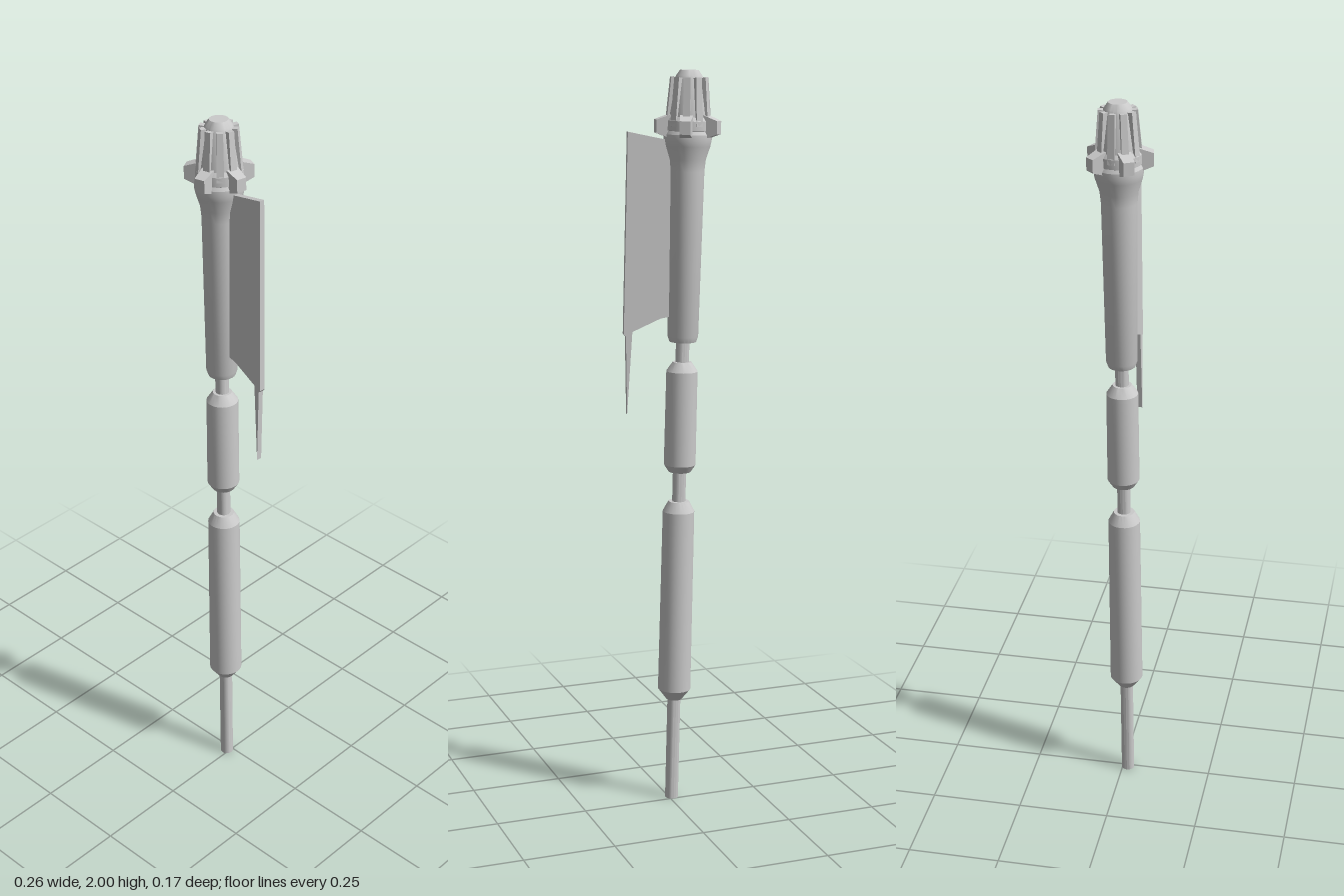
import * as THREE from 'three';
import { toCreasedNormals } from 'three/addons/utils/BufferGeometryUtils.js';

const material = new THREE.MeshStandardMaterial({ color: 0xcccccc });

function add(parent, name, geometry) {
  const mesh = new THREE.Mesh(geometry, material);
  mesh.name = name;
  parent.add(mesh);
  return mesh;
}

// Turned part from [radius, height] pairs, with sharp rims
function turned(parent, name, profile, sides = 24) {
  const points = profile.map(([r, y]) => new THREE.Vector2(r, y));
  return add(parent, name, toCreasedNormals(new THREE.LatheGeometry(points, sides), 0.45));
}

// Box whose +y or +x end is scaled down
function taperedBox(w, h, d, axis, sa, sb) {
  const g = new THREE.BoxGeometry(w, h, d);
  const p = g.attributes.position;
  for (let i = 0; i < p.count; i++) {
    if (axis === 'x' && p.getX(i) > 0) {
      p.setY(i, p.getY(i) * sa);
      p.setZ(i, p.getZ(i) * sb);
    } else if (axis === 'y' && p.getY(i) > 0) {
      p.setX(i, p.getX(i) * sa);
      p.setZ(i, p.getZ(i) * sb);
    }
  }
  g.computeVertexNormals();
  return g;
}

export function createModel() {
  const model = new THREE.Group();
  model.name = 'staffWeapon';

  // The whole staff leans slightly
  const staff = new THREE.Group();
  staff.name = 'staff';
  staff.position.set(-0.008, 0, 0.015);
  staff.rotation.set(-0.01, 0, 0.021);
  model.add(staff);

  // Thin core rod and three sleeves
  turned(staff, 'coreRod', [[0, 0], [0.018, 0], [0.018, 1.32], [0, 1.32]], 16);
  turned(staff, 'lowerGrip', [
    [0, 0.29], [0.022, 0.29], [0.045, 0.32], [0.043, 0.825], [0.028, 0.853], [0, 0.853]]);
  turned(staff, 'middleGrip', [
    [0, 0.935], [0.03, 0.935], [0.043, 0.955], [0.042, 1.21], [0.025, 1.235], [0, 1.235]]);
  turned(staff, 'upperSleeve', [
    [0, 1.29], [0.036, 1.29], [0.041, 1.305], [0.046, 1.74], [0.049, 1.77],
    [0.06, 1.805], [0.063, 1.82], [0.063, 1.835], [0.055, 1.85], [0, 1.85]]);

  // Ribbed head
  const head = new THREE.Group();
  head.name = 'head';
  head.rotation.y = -THREE.MathUtils.degToRad(8);
  staff.add(head);
  turned(head, 'headCore', [
    [0, 1.83], [0.054, 1.83], [0.053, 1.88], [0.038, 1.975], [0.034, 1.985],
    [0.024, 1.999], [0, 1.999]]);
  turned(head, 'collar', [[0.05, 1.84], [0.06, 1.845], [0.06, 1.87], [0.05, 1.885]]);

  for (let i = 0; i < 10; i++) {
    const spoke = new THREE.Group();
    spoke.name = 'ribMount';
    spoke.rotation.y = -(i / 10) * Math.PI * 2;
    head.add(spoke);
    const rib = add(spoke, 'rib', taperedBox(0.018, 0.125, 0.019, 'y', 0.9, 0.85));
    rib.position.set(0.046, 1.918, 0);
    rib.rotation.z = 0.08;

    // Five studs around the collar
    if (i % 2 === 0) {
      const stud = add(spoke, 'stud', taperedBox(0.046, 0.068, 0.036, 'x', 0.5, 0.78));
      stud.position.set(0.064, 1.855, 0);
    }
  }

  // Side blade with a spike at its lower outer corner
  const bladeMount = new THREE.Group();
  bladeMount.name = 'bladeMount';
  bladeMount.rotation.y = -THREE.MathUtils.degToRad(7);
  staff.add(bladeMount);
  const outline = new THREE.Shape([
    [0.03, 1.815], [0.03, 1.36], [0.065, 1.352], [0.139, 1.318], [0.149, 1.097],
    [0.156, 1.305], [0.162, 1.312], [0.161, 1.84],
  ].map(([x, y]) => new THREE.Vector2(x, y)));
  const blade = add(bladeMount, 'blade',
    new THREE.ExtrudeGeometry(outline, { depth: 0.014, bevelEnabled: false }));
  blade.position.z = -0.007;

  return model;
}
